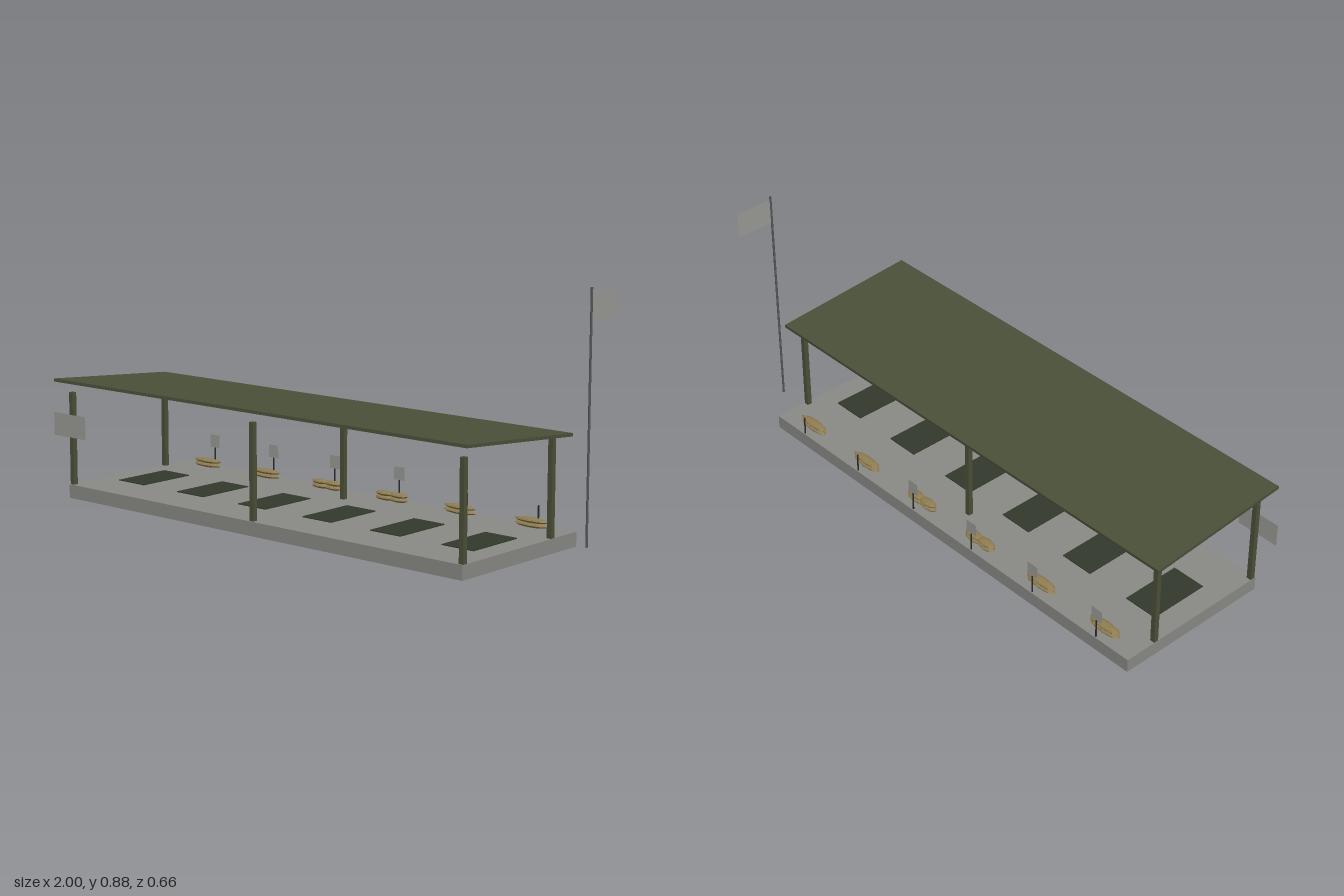
import * as THREE from 'three';

const mat = (color, extra = {}) => new THREE.MeshStandardMaterial({ color, ...extra });

export function createModel() {
  const model = new THREE.Group();
  const concrete = mat(0x8a8a86);
  const panel = mat(0x9a9a96, { side: THREE.DoubleSide });
  const olive = mat(0x4b5038);
  const matGreen = mat(0x323a2c);
  const sand = mat(0x8f7d52, { flatShading: true });
  const metal = mat(0x55585a);
  const dark = mat(0x2a2a2a);

  const add = (name, geometry, material, x, y, z, parent = model) => {
    const mesh = new THREE.Mesh(geometry, material);
    mesh.name = name;
    mesh.position.set(x, y, z);
    parent.add(mesh);
    return mesh;
  };

  const midX = -0.03;

  // Floor slab and sloping roof, higher at the front
  add('floorSlab', new THREE.BoxGeometry(1.8, 0.05, 0.605), concrete, midX, 0.025, -0.0025);
  const roof = add('roof', new THREE.BoxGeometry(1.874, 0.011, 0.556), olive, midX, 0.411, 0.0555);
  roof.rotation.x = -0.075;

  // Three posts along the front and three along the back
  const postGeo = new THREE.BoxGeometry(0.018, 0.338, 0.018);
  for (const dx of [-0.89, 0, 0.89]) {
    add('frontPost', postGeo, olive, midX + dx, 0.218, 0.286);
    add('backPost', postGeo, olive, midX + dx, 0.218, -0.174);
  }

  // Six lanes, each with a floor mat, sandbags and a marker stake
  const matGeo = new THREE.BoxGeometry(0.13, 0.003, 0.23);
  const bagGeo = new THREE.SphereGeometry(1, 8, 6);
  const stakeGeo = new THREE.BoxGeometry(0.004, 0.068, 0.004);
  const boardGeo = new THREE.PlaneGeometry(0.047, 0.047);
  for (let i = 0; i < 6; i++) {
    const lane = new THREE.Group();
    lane.name = 'lane';
    lane.position.x = -0.78 + 0.3 * i;
    model.add(lane);

    add('floorMat', matGeo, matGreen, 0, 0.0515, 0.02, lane);

    // The two middle piles are made of pairs of short bags
    const paired = i === 2 || i === 3;
    for (const y of [0.059, 0.0745]) {
      for (const x of paired ? [-0.03, 0.03] : [0]) {
        const bag = add('sandbag', bagGeo, sand, x, y, -0.258, lane);
        bag.scale.set(paired ? 0.041 : 0.069, 0.009, 0.02);
      }
    }

    add('markerStake', stakeGeo, dark, 0, 0.084, -0.299, lane);
    if (i < 4) add('markerBoard', boardGeo, panel, 0, 0.142, -0.299, lane);
  }

  // Sign in front of the right front post
  add('sign', new THREE.PlaneGeometry(0.165, 0.083), panel, -0.9175, 0.266, 0.305);

  // Flagpole with its flag flying backwards
  add('flagpole', new THREE.CylinderGeometry(0.004, 0.004, 0.84, 8), metal, 0.994, 0.458, -0.185);
  const flag = add('flag', new THREE.PlaneGeometry(0.146, 0.095), panel, 0.994, 0.8175, -0.258);
  flag.rotation.y = Math.PI / 2;

  return model;
}
